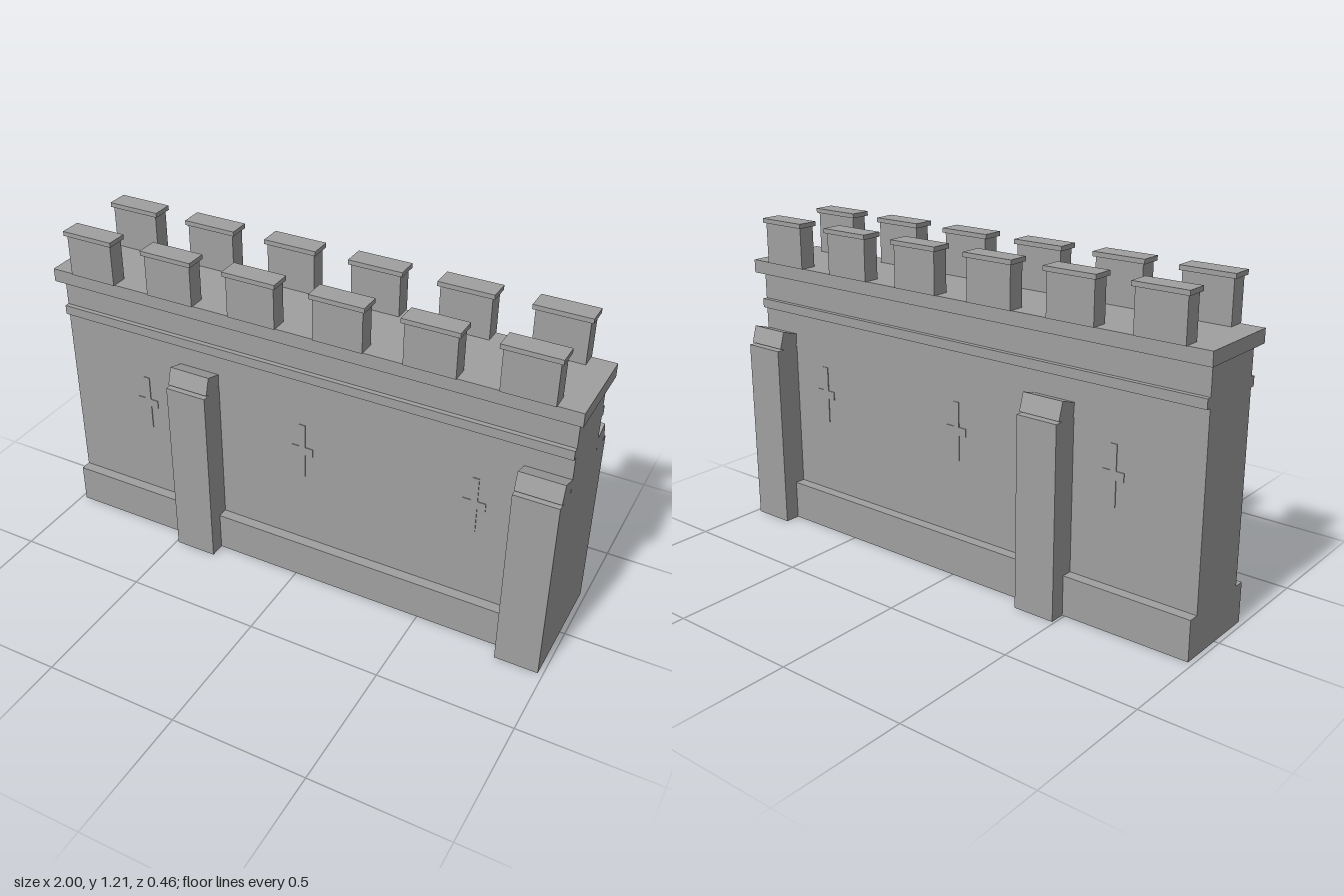
import * as THREE from 'three';

export function createModel() {
  const model = new THREE.Group();
  model.name = 'castleWall';
  const stone = new THREE.MeshStandardMaterial({ color: 0xa0a0a0 });
  stone.name = 'stone grey';

  // Box given by its lower and upper limits on each axis
  function block(name, x0, x1, y0, y1, z0, z1, parent = model) {
    const mesh = new THREE.Mesh(new THREE.BoxGeometry(x1 - x0, y1 - y0, z1 - z0), stone);
    mesh.position.set((x0 + x1) / 2, (y0 + y1) / 2, (z0 + z1) / 2);
    mesh.name = name;
    parent.add(mesh);
    return mesh;
  }

  // Wall body with plinth, string course and walkway
  const end = 0.982;
  block('wall', -end, end, 0, 0.99, -0.13, 0.13);
  block('plinth', -end, end, 0, 0.15, -0.17, 0.17);
  block('stringCourse', -end, end, 0.845, 0.88, -0.148, 0.148);
  block('walkway', -1, 1, 0.985, 1.035, -0.165, 0.165);

  // Everything repeated on the two long faces
  for (const side of [1, -1]) {
    const face = new THREE.Group();
    face.name = side > 0 ? 'frontFace' : 'backFace';
    if (side < 0) face.rotation.y = Math.PI;
    model.add(face);

    // Battlements
    for (let i = 0; i < 6; i++) {
      const x = -0.82 + i * 0.328;
      block('merlon', x - 0.092, x + 0.092, 1.035, 1.19, 0.107, 0.171, face);
      block('merlonCap', x - 0.101, x + 0.101, 1.19, 1.207, 0.1, 0.18, face);
    }

    // Buttresses with tilted capstones, at the same x on both faces
    for (const worldX of [-0.411, 0.902]) {
      const x = worldX * side;
      block('buttress', x - 0.08, x + 0.08, 0, 0.71, 0.12, 0.229, face);
      const cap = block('buttressCap', x - 0.08, x + 0.08, 0, 0.067, 0, 0.077, face);
      cap.position.set(x, 0.737, 0.168);
      cap.rotation.x = -0.298;
    }

    // Cross-shaped arrow slits
    for (const worldX of [-0.65, 0.01, 0.665]) {
      const x = worldX * side;
      block('arrowSlitUpright', x - 0.012, x + 0.012, 0.435, 0.655, 0.128, 0.133, face);
      block('arrowSlitBar', x - 0.042, x + 0.042, 0.53, 0.562, 0.128, 0.133, face);
    }
  }
  return model;
}
